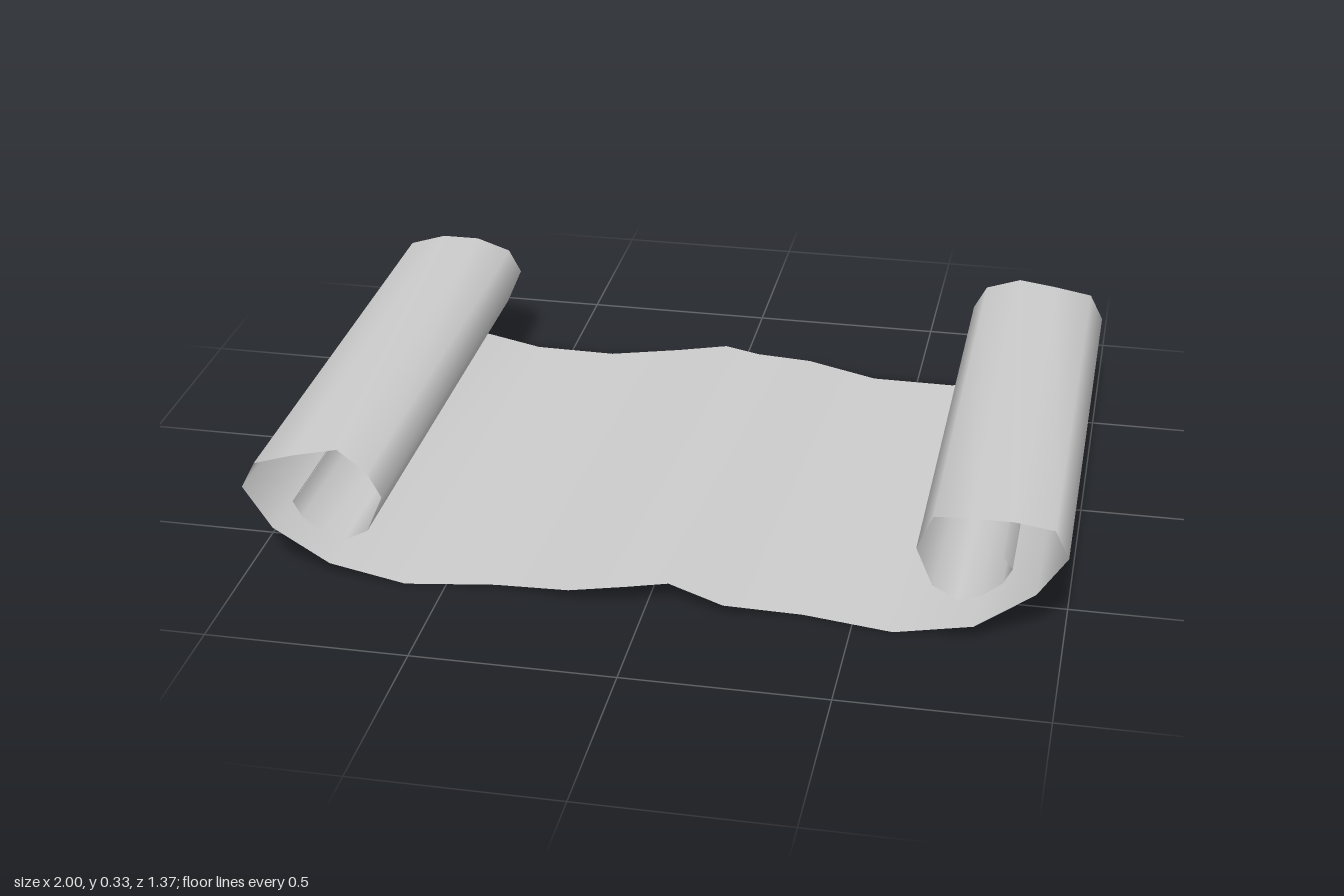
import * as THREE from 'three';

// Half profile of the sheet: x, y from the middle outwards and into the curl
const HALF = [
  [0.05, 0.055], [0.19, 0.03], [0.38, 0.008], [0.6, 0.003], [0.79, 0.04],
  [0.93, 0.125], [1.0, 0.232], [0.965, 0.3], [0.87, 0.33], [0.77, 0.33],
  [0.68, 0.3], [0.647, 0.238], [0.688, 0.142], [0.748, 0.11], [0.802, 0.125],
  [0.852, 0.165], [0.873, 0.205], [0.85, 0.235],
];
const EDGE = 0.683;

// Depth of the tears, by index along each half profile
const TEARS = {
  right: {
    front: { 0: 0.035, 2: 0.03, 5: 0.03, 6: 0.025, 7: 0.03, 10: 0.045 },
    back: { 0: 0.035, 2: 0.033, 3: 0.025, 8: 0.03 },
  },
  left: {
    front: { 2: 0.028, 9: 0.05 },
    back: { 2: 0.015 },
  },
};

function halfPoints(sign, tears) {
  return HALF.map(([x, y], i) => ({
    x: sign * x,
    y,
    front: EDGE - (tears.front[i] ?? 0),
    back: -EDGE + (tears.back[i] ?? 0),
  }));
}

export function createModel() {
  const group = new THREE.Group();
  group.name = 'scroll';

  const profile = [
    ...halfPoints(-1, TEARS.left).reverse(),
    ...halfPoints(1, TEARS.right),
  ];

  // Each profile point spans the sheet from its front edge to its back edge
  const positions = [];
  const index = [];
  profile.forEach((p, i) => {
    positions.push(p.x, p.y, p.front, p.x, p.y, p.back);
    if (i === 0) return;
    const a = 2 * (i - 1), b = 2 * i;
    index.push(a, b, b + 1, a, b + 1, a + 1);
  });

  const geometry = new THREE.BufferGeometry();
  geometry.setAttribute('position', new THREE.Float32BufferAttribute(positions, 3));
  geometry.setIndex(index);
  geometry.computeVertexNormals();
  geometry.translate(0, -0.003, 0);

  const sheet = new THREE.Mesh(
    geometry,
    new THREE.MeshStandardMaterial({ color: 0xcccccc, side: THREE.DoubleSide })
  );
  sheet.name = 'parchmentSheet';
  group.add(sheet);
  return group;
}
